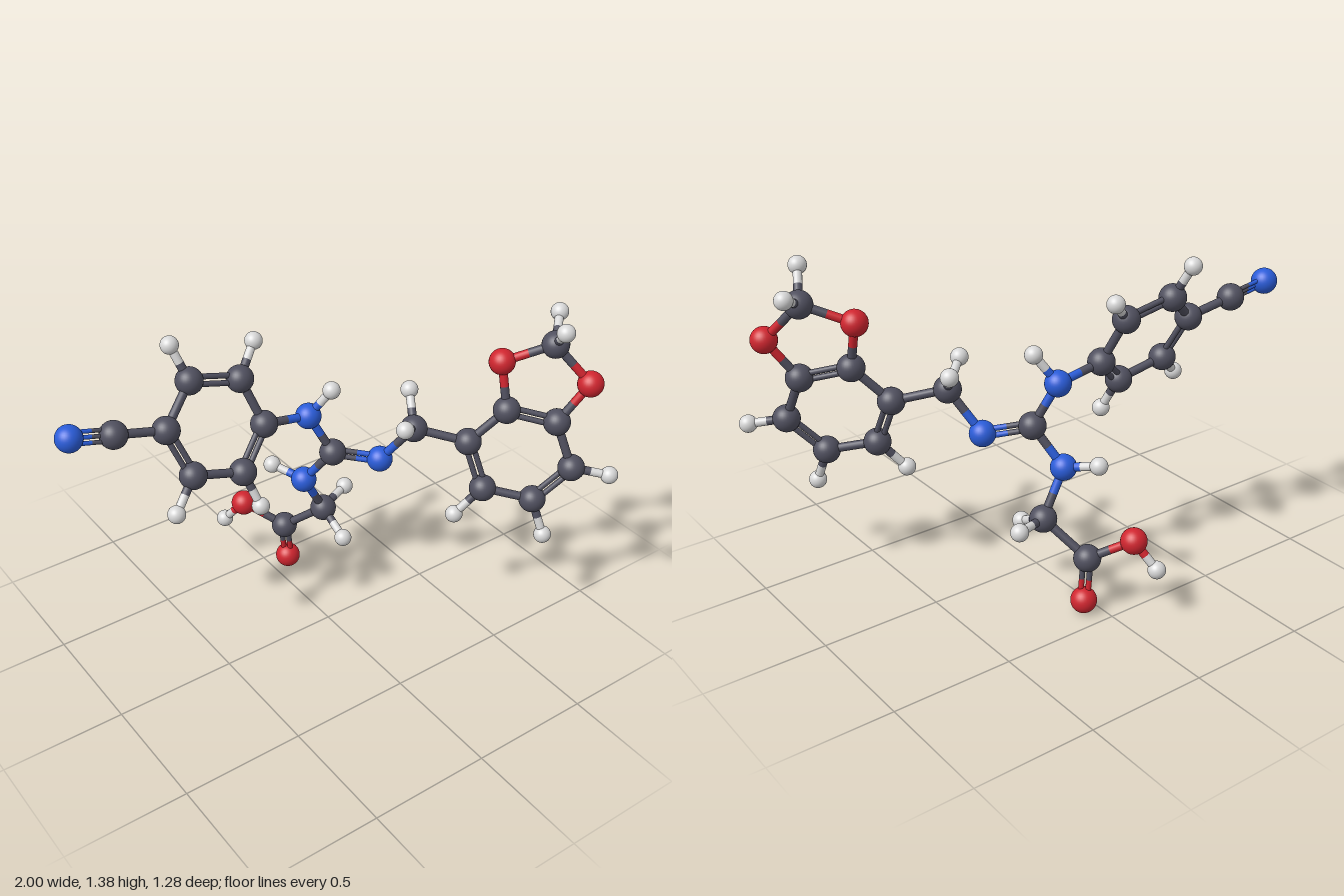
import * as THREE from 'three';

const material = (name, color) => Object.assign(new THREE.MeshStandardMaterial({ color }), { name });

// Elements: ball radius and colour
const elements = {
  C: { name: 'carbon', radius: 0.055, mat: material('charcoal', 0x50505f) },
  N: { name: 'nitrogen', radius: 0.053, mat: material('blue', 0x2a5cd8) },
  O: { name: 'oxygen', radius: 0.053, mat: material('red', 0xd0252f) },
  H: { name: 'hydrogen', radius: 0.036, mat: material('lightGrey', 0xd8d8d8) },
};

// Ball centres; the first letter of each key is the element
const atoms = {
  // nitrile and its ring
  N0: [-0.95, 1.133, -0.28], C0: [-0.782, 1.095, -0.262],
  C1: [-0.578, 1.05, -0.237], C2: [-0.43, 1.183, -0.302], C3: [-0.222, 1.133, -0.275],
  C4: [-0.168, 0.946, -0.197], C5: [-0.313, 0.812, -0.132], C6: [-0.52, 0.865, -0.157],
  H2: [-0.468, 1.32, -0.367], H3: [-0.115, 1.237, -0.338],
  H5: [-0.278, 0.672, -0.067], H6: [-0.63, 0.758, -0.107],
  // central three-nitrogen group
  N1: [0.04, 0.908, -0.193], H1: [0.116, 1.027, -0.14], C7: [0.121, 0.732, -0.138],
  N2: [0.277, 0.7, -0.025], N3: [0.045, 0.57, -0.238], H7: [-0.028, 0.604, -0.365],
  // acid arm
  C8: [0.147, 0.378, -0.243], H8: [0.302, 0.395, -0.3], H9: [0.147, 0.305, -0.098],
  C9: [0.046, 0.236, -0.395], O1: [0.066, 0.056, -0.402],
  O2: [-0.078, 0.331, -0.525], H10: [-0.13, 0.221, -0.605],
  // linking carbon and second ring
  C10: [0.362, 0.872, 0.082], H11: [0.249, 0.95, 0.166], H12: [0.425, 0.976, -0.032],
  C11: [0.532, 0.818, 0.22], C12: [0.655, 0.962, 0.298], C13: [0.81, 0.915, 0.427],
  C14: [0.842, 0.725, 0.502], C15: [0.715, 0.58, 0.428], C16: [0.56, 0.622, 0.295],
  H14: [0.96, 0.697, 0.602], H15: [0.734, 0.427, 0.488], H16: [0.461, 0.502, 0.243],
  // five-sided ring
  O3: [0.655, 1.16, 0.249], O4: [0.917, 1.08, 0.481], C17: [0.82, 1.235, 0.365],
  H17: [0.761, 1.349, 0.468], H18: [0.926, 1.303, 0.266],
};

// Single rods, grouped as: first ring, centre and acid arm, second ring, five-sided ring
const singles = [
  'C0-C1 C1-C2 C3-C4 C5-C6 C2-H2 C3-H3 C5-H5 C6-H6 C4-N1',
  'N1-H1 N1-C7 C7-N3 N3-H7 N3-C8 C8-H8 C8-H9 C8-C9 C9-O2 O2-H10',
  'N2-C10 C10-H11 C10-H12 C10-C11 C11-C12 C13-C14 C15-C16 C14-H14 C15-H15 C16-H16',
  'C12-O3 C13-O4 O3-C17 O4-C17 C17-H17 C17-H18',
].join(' ');
// The third atom sets the plane in which parallel rods lie
const doubles = 'C2-C3-C4 C4-C5-C6 C6-C1-C2 C7-N2-N1 C9-O1-O2 C12-C13-C14 C14-C15-C16 C16-C11-C12';
const triples = 'N0-C0-C2';

export function createModel() {
  const model = new THREE.Group();
  model.name = 'ballAndStickMolecule';
  const at = (key) => new THREE.Vector3(...atoms[key]);
  const up = new THREE.Vector3(0, 1, 0);
  const rod = new THREE.CylinderGeometry(1, 1, 1, 16);

  // Balls
  const balls = {};
  for (const [symbol, e] of Object.entries(elements)) balls[symbol] = new THREE.SphereGeometry(e.radius, 32, 20);
  for (const key of Object.keys(atoms)) {
    const e = elements[key[0]];
    const ball = new THREE.Mesh(balls[key[0]], e.mat);
    ball.name = e.name + 'Ball';
    ball.position.copy(at(key));
    model.add(ball);
  }

  // Each rod is split halfway, each half taking the colour of its ball
  function addBond(a, b, radius, offsets, planeAtom) {
    const start = at(a), end = at(b);
    const dir = end.clone().sub(start);
    const length = dir.length();
    dir.normalize();
    const side = new THREE.Vector3();
    if (planeAtom) side.copy(at(planeAtom)).sub(start).projectOnPlane(dir).normalize();
    const bond = new THREE.Group();
    bond.name = ['single', 'double', 'triple'][offsets.length - 1] + 'Bond';
    for (const offset of offsets) {
      for (const [key, t] of [[a, 0.25], [b, 0.75]]) {
        const e = elements[key[0]];
        const half = new THREE.Mesh(rod, e.mat);
        half.name = e.name + 'Rod';
        half.scale.set(radius, length / 2, radius);
        half.quaternion.setFromUnitVectors(up, dir);
        half.position.lerpVectors(start, end, t).addScaledVector(side, offset);
        bond.add(half);
      }
    }
    model.add(bond);
  }

  function addBonds(list, radius, offsets) {
    for (const entry of list.split(' ')) {
      const [a, b, planeAtom] = entry.split('-');
      addBond(a, b, radius, offsets, planeAtom);
    }
  }
  addBonds(singles, 0.0175, [0]);
  addBonds(doubles, 0.0115, [-0.0145, 0.0145]);
  addBonds(triples, 0.0085, [-0.022, 0, 0.022]);

  return model;
}
